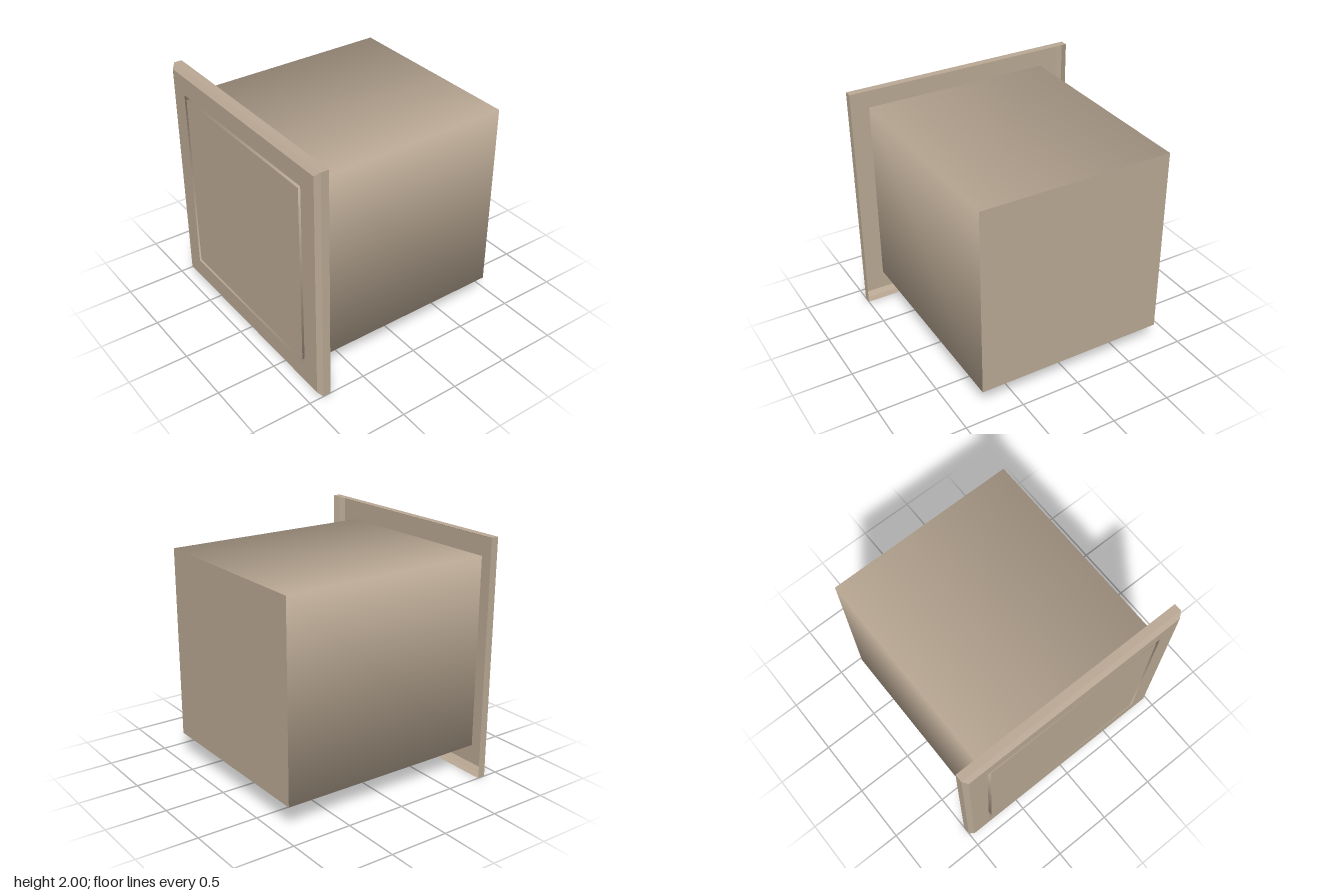
import * as THREE from 'three';

const FRONT = 0.91, BACK = -0.91, RIM_BACK = 0.81, BEVEL = 0.035;
const BODY = 0.805, PANEL = 0.775; // half widths

export function createModel() {
  const group = new THREE.Group();
  const color = 0xb8a793;
  const smooth = new THREE.MeshStandardMaterial({ color, side: THREE.DoubleSide });
  const flat = new THREE.MeshStandardMaterial({ color, side: THREE.DoubleSide, flatShading: true });

  const add = (name, geometry, material) => {
    const mesh = new THREE.Mesh(geometry, material);
    mesh.name = name;
    mesh.position.y = 1;
    group.add(mesh);
  };

  // Open square sleeve along z, from half width a at z0 to half width b at z1
  const sleeve = (a, z0, b, z1) =>
    new THREE.CylinderGeometry(b * Math.SQRT2, a * Math.SQRT2, z1 - z0, 4, 1, true)
      .rotateY(Math.PI / 4)
      .rotateX(Math.PI / 2)
      .translate(0, 0, (z0 + z1) / 2);

  const square = (h, Type = THREE.Shape) => new Type([
    new THREE.Vector2(-h, -h), new THREE.Vector2(h, -h),
    new THREE.Vector2(h, h), new THREE.Vector2(-h, h),
  ]);

  // Housing: smooth-shaded sleeve with a flat back
  add('housingWalls', sleeve(BODY, BACK, BODY, FRONT), smooth);
  add('housingBack', new THREE.ShapeGeometry(square(BODY)).rotateY(Math.PI).translate(0, 0, BACK), flat);

  // Flange: thin front sheet with bevelled edge and rim, open behind
  const plate = square(1 - BEVEL);
  plate.holes.push(square(BODY, THREE.Path));
  add('flangeFace', new THREE.ShapeGeometry(plate).translate(0, 0, FRONT), flat);
  add('flangeBevel', sleeve(1, FRONT - BEVEL, 1 - BEVEL, FRONT), flat);
  add('flangeRim', sleeve(1, RIM_BACK, 1, FRONT - BEVEL), flat);

  // Front panel, separated from the flange by a narrow deep gap
  add('panelFace', new THREE.ShapeGeometry(square(PANEL)).translate(0, 0, FRONT), flat);
  add('panelWalls', sleeve(PANEL, BACK, PANEL, FRONT), smooth);

  return group;
}
